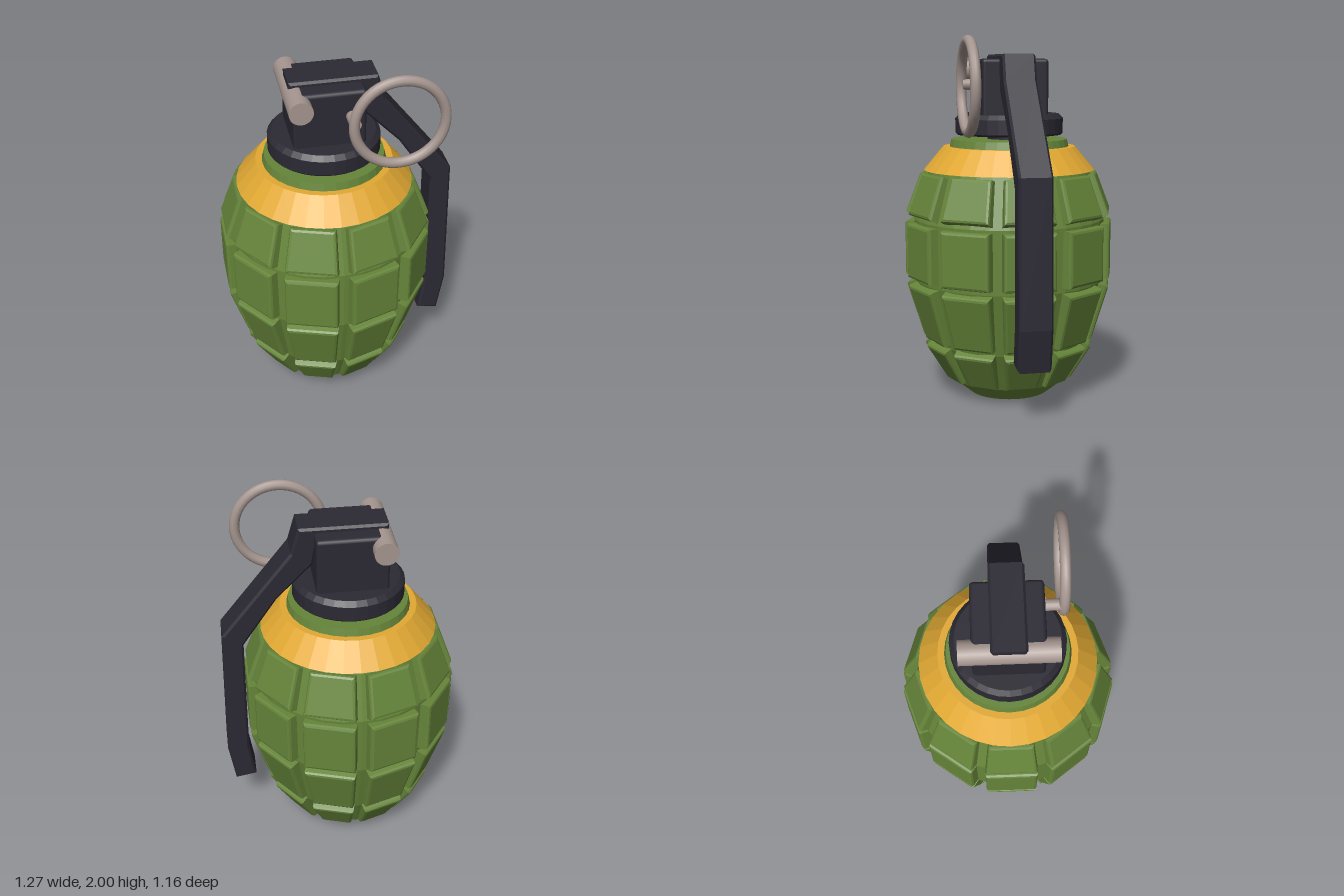
import * as THREE from 'three';
import { RoundedBoxGeometry } from 'three/addons/geometries/RoundedBoxGeometry.js';

const AXIS_X = -0.07; // vertical axis of the body
const SECTORS = 10;

const paint = (color, flatShading = false) => new THREE.MeshStandardMaterial({ color, flatShading });

function addMesh(parent, name, geometry, material, x = 0, y = 0, z = 0) {
  const mesh = new THREE.Mesh(geometry, material);
  mesh.name = name;
  mesh.position.set(x, y, z);
  parent.add(mesh);
  return mesh;
}

const lathe = (points) =>
  new THREE.LatheGeometry(points.map(([r, y]) => new THREE.Vector2(r, y)), 32);

// Bevelled slab whose full size equals the outline; its front is at z = 0
function slab(points, thickness, bevel, segments) {
  const shape = new THREE.Shape(points.map(([x, y]) => new THREE.Vector2(x, y)));
  const geometry = new THREE.ExtrudeGeometry(shape, {
    depth: thickness - 2 * bevel, bevelThickness: bevel, bevelSize: bevel,
    bevelOffset: -bevel, bevelSegments: segments,
  });
  return geometry.translate(0, 0, bevel - thickness);
}

export function createModel() {
  const model = new THREE.Group();
  model.name = 'grenade';
  const green = paint(0x66853a);
  const greenFlat = paint(0x66853a, true);
  const gold = paint(0xe2a933, true);
  const dark = paint(0x2b2933);
  const darkFlat = paint(0x2b2933, true);
  const steel = paint(0xa5958f);

  // Inner body
  addMesh(model, 'bodyCore', lathe([
    [0, 0], [0.225, 0], [0.33, 0.085], [0.44, 0.305], [0.53, 0.655], [0.535, 1.0],
    [0.45, 1.265], [0.335, 1.39], [0.322, 1.44], [0, 1.44],
  ]), greenFlat, AXIS_X);

  // Four rows of raised plates: bottom y, bottom radius, top y, top radius
  const rows = [
    [0.085, 0.35, 0.288, 0.472],
    [0.325, 0.472, 0.635, 0.566],
    [0.68, 0.57, 0.985, 0.57],
    [1.035, 0.566, 1.262, 0.482],
  ];
  const plates = new THREE.Group();
  plates.name = 'bodyPlates';
  plates.position.x = AXIS_X;
  model.add(plates);
  rows.forEach(([y0, r0, y1, r1], row) => {
    const half = Math.hypot(y1 - y0, r1 - r0) / 2;
    const w0 = r0 * 0.247, w1 = r1 * 0.247;
    const geometry = slab([[-w0, -half], [w0, -half], [w1, half], [-w1, half]], 0.1, 0.016, 2);
    for (let i = 0; i < SECTORS; i++) {
      const sector = new THREE.Group();
      sector.name = `plateRow${row + 1}`;
      sector.rotation.y = Math.PI / 2 + (i / SECTORS) * Math.PI * 2;
      plates.add(sector);
      const plate = addMesh(sector, 'plate', geometry, green, 0, (y0 + y1) / 2, (r0 + r1) / 2);
      plate.rotation.x = Math.atan2(r1 - r0, y1 - y0);
    }
  });

  // Coloured collar around the shoulder
  addMesh(model, 'collar', lathe([
    [0.43, 1.268], [0.476, 1.27], [0.368, 1.4], [0.31, 1.4],
  ]), gold, AXIS_X);

  // Fuse: stem, flange and housing
  addMesh(model, 'fuseStem', new THREE.CylinderGeometry(0.12, 0.12, 0.08, 24), dark, AXIS_X, 1.455);
  addMesh(model, 'fuseFlange', lathe([
    [0, 1.465], [0.29, 1.465], [0.3, 1.475], [0.3, 1.555], [0.275, 1.58], [0, 1.58],
  ]), darkFlat, AXIS_X);
  addMesh(model, 'fuseHousing', new RoundedBoxGeometry(0.38, 0.36, 0.366, 2, 0.02),
    dark, AXIS_X, 1.7);

  // Safety lever: side profile extruded across the width
  const lever = slab([
    [-0.265, 1.85], [0.1, 1.85], [0.125, 1.7], [0.32, 1.5], [0.505, 1.225], [0.51, 0.51],
    [0.477, 0.3], [0.595, 0.28], [0.632, 0.51], [0.617, 1.29], [0.24, 1.765],
    [0.2, 1.905], [-0.265, 1.905],
  ], 0.18, 0.012, 1);
  addMesh(model, 'safetyLever', lever, dark, 0, 0, 0.09);

  // Hinge pin, pull pin and pull ring
  const hinge = addMesh(model, 'hingePin',
    new THREE.CylinderGeometry(0.063, 0.063, 0.495, 24), steel, -0.228, 1.82, 0);
  hinge.rotation.x = Math.PI / 2;
  const pin = addMesh(model, 'pullPin',
    new THREE.CylinderGeometry(0.03, 0.03, 0.16, 16), steel, 0.04, 1.742, 0.2);
  pin.rotation.x = Math.PI / 2;
  addMesh(model, 'pullRing', new THREE.TorusGeometry(0.237, 0.028, 10, 48), steel, 0.267, 1.735, 0.285);

  return model;
}
